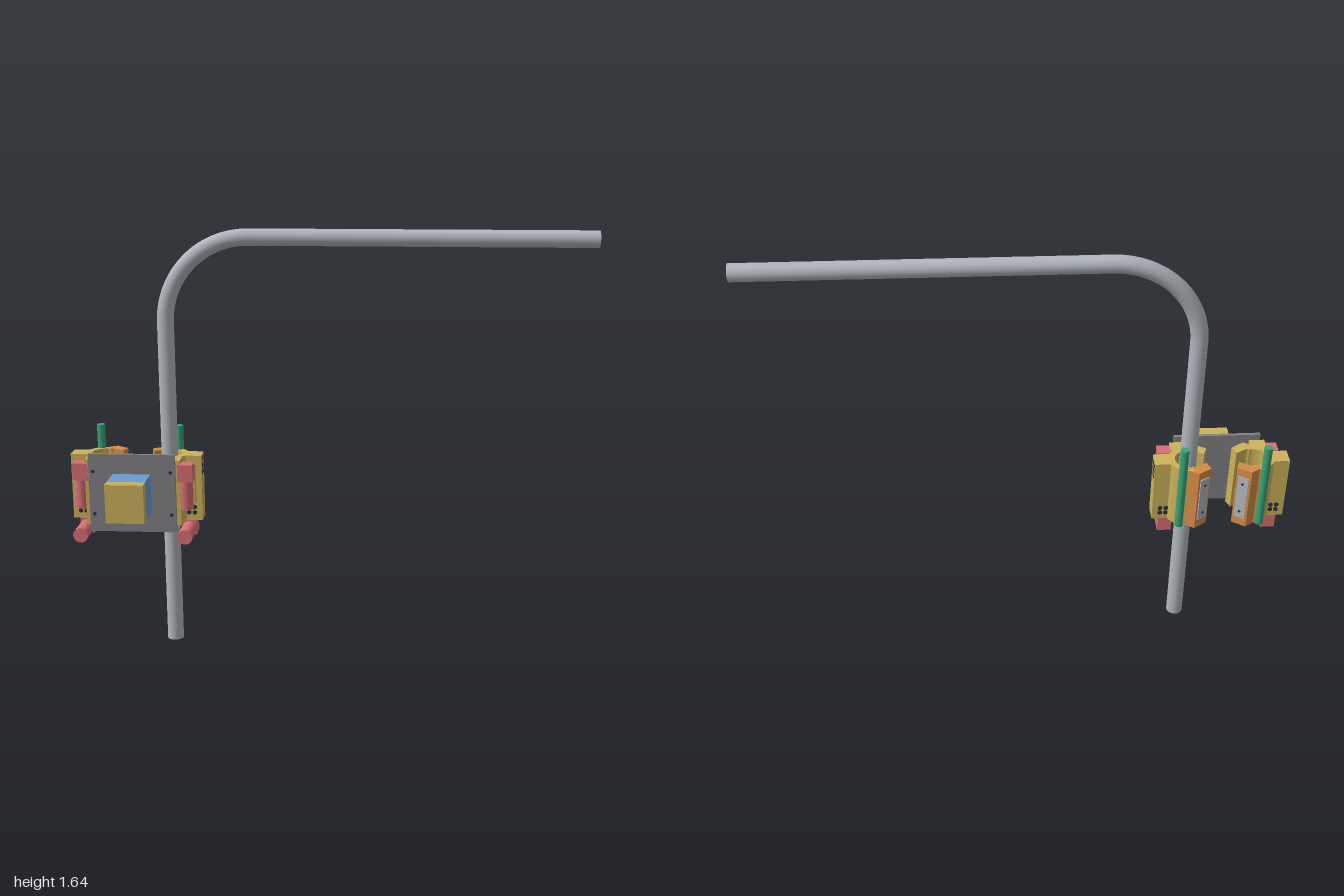
import * as THREE from 'three';

const paint = (name, color) => {
  const m = new THREE.MeshStandardMaterial({ color });
  m.name = name;
  return m;
};

export function createModel() {
  const steel = paint('steel', 0xb0b7bd);
  const plateGrey = paint('plateGrey', 0x828286);
  const yellow = paint('yellow', 0xccb25a);
  const orange = paint('orange', 0xd68c45);
  const red = paint('red', 0xd86f74);
  const green = paint('green', 0x35a578);
  const blue = paint('blue', 0x6a9cd6);
  const dark = paint('dark', 0x2c333d);

  const model = new THREE.Group();
  const add = (parent, name, geo, mat) => {
    const mesh = new THREE.Mesh(geo, mat);
    mesh.name = name;
    parent.add(mesh);
    return mesh;
  };
  // Box from its limits
  const box = (x0, x1, y0, y1, z0, z1) =>
    new THREE.BoxGeometry(Math.abs(x1 - x0), y1 - y0, z1 - z0)
      .translate((x0 + x1) / 2, (y0 + y1) / 2, (z0 + z1) / 2);
  // Upright prism from a plan outline of [x, z] points
  const prism = (pts, y0, y1) =>
    new THREE.ExtrudeGeometry(new THREE.Shape(pts.map(([x, z]) => new THREE.Vector2(x, -z))),
      { depth: y1 - y0, bevelEnabled: false }).rotateX(-Math.PI / 2).translate(0, y0, 0);

  // Bent pole
  const px = -0.615, pz = -0.087, r = 0.032, bend = 0.32, topY = 1.613;
  const pole = new THREE.Group();
  pole.name = 'pole';
  model.add(pole);
  const upright = topY - bend, armStart = px + bend;
  add(pole, 'upright', new THREE.CylinderGeometry(r, r, upright, 32).translate(px, upright / 2, pz), steel);
  add(pole, 'arm', new THREE.CylinderGeometry(r, r, 1 - armStart, 32).rotateZ(Math.PI / 2)
    .translate((1 + armStart) / 2, topY, pz), steel);
  add(pole, 'elbow', new THREE.TorusGeometry(bend, r, 32, 32, Math.PI / 2).rotateZ(Math.PI / 2)
    .translate(armStart, upright, pz), steel);

  // Base plate with the control box on its front
  const cx = -0.743;
  add(model, 'basePlate', box(cx - 0.168, cx + 0.168, 0.49, 0.80, 0.022, 0.035), plateGrey);
  for (const sx of [-1, 1]) for (const y of [0.56, 0.73])
    add(model, 'plateHole', new THREE.CylinderGeometry(0.007, 0.007, 0.015, 12).rotateX(Math.PI / 2)
      .translate(cx + sx * 0.15, y, 0.0285), dark);
  add(model, 'controlBox', box(cx - 0.073, cx + 0.073, 0.572, 0.722, 0.035, 0.139), blue);
  add(model, 'controlBoxCover', box(cx - 0.073, cx + 0.073, 0.572, 0.722, 0.139, 0.183), yellow);

  // Two mirrored gripper units; u is the distance outward from the centre line
  const y0 = 0.513, y1 = 0.775;
  const jawPlan = [[0.142, -0.155], [0.099, -0.183], [0.049, -0.15], [0.062, -0.115], [0.107, -0.14], [0.137, -0.135]];
  const ringPlan = [];
  for (let i = 0; i <= 16; i++) {
    const a = (-105 + i * 210 / 16) * Math.PI / 180;
    ringPlan.push([0.128 + 0.075 * Math.cos(a), pz + 0.075 * Math.sin(a)]);
  }
  for (let i = 16; i >= 0; i--) {
    const a = (-105 + i * 210 / 16) * Math.PI / 180;
    ringPlan.push([0.128 + 0.05 * Math.cos(a), pz + 0.05 * Math.sin(a)]);
  }

  for (const s of [-1, 1]) {
    const unit = new THREE.Group();
    unit.name = s > 0 ? 'leftGripper' : 'rightGripper';
    model.add(unit);
    const X = u => cx + s * u;
    const plan = pts => pts.map(([u, z]) => [X(u), z]);
    const block = (name, u0, u1, ya, yb, z0, z1, mat) => add(unit, name, box(X(u0), X(u1), ya, yb, z0, z1), mat);

    // Body, mount and jaws
    add(unit, 'gripperRing', prism(plan(ringPlan), y0, y1), yellow);
    block('outerBlock', 0.187, 0.256, y0, y1, -0.118, -0.052, yellow);
    block('plateMount', 0.125, 0.185, y0, y1, -0.03, 0.022, yellow);
    block('motorCarrier', 0.175, 0.233, 0.59, 0.74, -0.053, -0.024, yellow);
    add(unit, 'frontJaw', prism(plan(jawPlan.map(([u, z]) => [u, 2 * pz - z])), y0, y1), yellow);
    add(unit, 'rearJaw', prism(plan(jawPlan), y0, y1), orange);

    // Metal strip on the rear jaw, with two screws
    add(unit, 'jawStrip', prism(plan([[0.092, -0.1784], [0.0898, -0.1817], [0.0538, -0.158], [0.056, -0.1546]]),
      0.55, 0.74), steel);
    for (const y of [0.58, 0.71])
      add(unit, 'jawScrew', new THREE.CylinderGeometry(0.005, 0.005, 0.008, 10).rotateX(Math.PI / 2)
        .rotateY(s * 0.58).translate(X(0.072), y, -0.169), dark);

    // Hinge pin
    add(unit, 'hingePin', new THREE.CylinderGeometry(0.016, 0.016, 0.36, 20)
      .translate(X(0.156), 0.69, -0.156), green);

    // Upright motor, then the lower motor pointing forward
    block('motorGearbox', 0.174, 0.233, 0.69, 0.758, -0.026, 0.026, red);
    add(unit, 'motorBody', new THREE.CylinderGeometry(0.027, 0.027, 0.113, 24).translate(X(0.2035), 0.6335, 0), red);
    block('lowerGearbox', 0.176, 0.231, 0.453, 0.513, -0.117, -0.052, red);
    add(unit, 'lowerMotorBody', new THREE.CylinderGeometry(0.029, 0.029, 0.117, 24).rotateX(Math.PI / 2)
      .translate(X(0.2035), 0.48, 0.0065), red);

    // Bolt clusters on the front, rear and outer faces of the block
    for (const a of [-0.011, 0.011]) for (const b of [-0.011, 0.011]) {
      const bolt = () => new THREE.CylinderGeometry(0.009, 0.009, 0.008, 6);
      for (const z of [-0.05, -0.12])
        add(unit, 'bolt', bolt().rotateX(Math.PI / 2).translate(X(0.215 + a), 0.556 + b, z), dark);
      for (const dy of [0, 0.03])
        add(unit, 'outerBolt', bolt().rotateZ(Math.PI / 2).translate(X(0.253), 0.715 + dy + b, pz + a), dark);
    }
  }
  return model;
}
